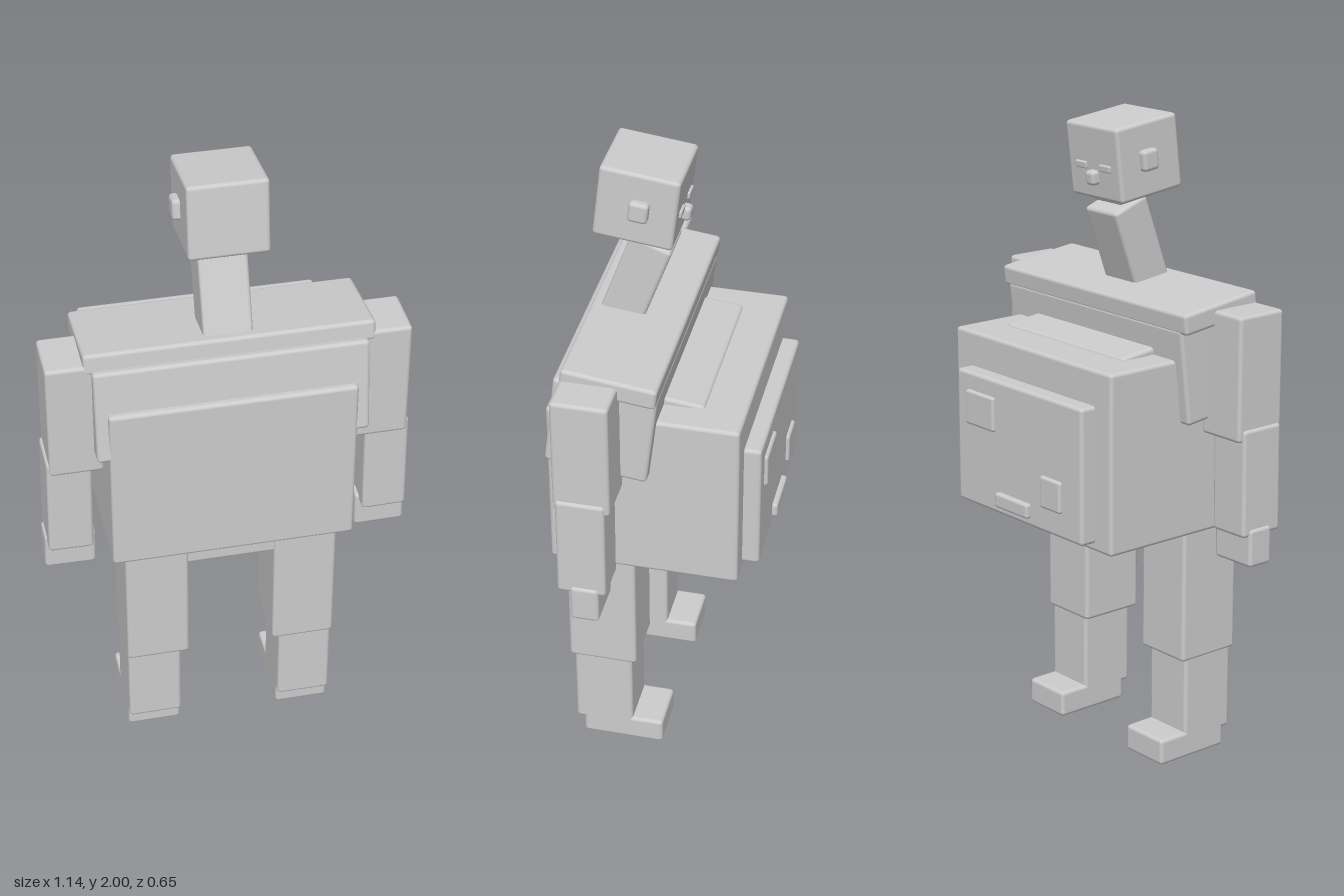
import * as THREE from 'three';
import { RoundedBoxGeometry } from 'three/addons/geometries/RoundedBoxGeometry.js';

export function createModel() {
  const model = new THREE.Group();
  const grey = new THREE.MeshStandardMaterial({ color: 0xcccccc });
  grey.name = 'light grey';

  // Soft-edged block: size, centre, and tilt about x and z
  function block(name, size, pos, tiltX = 0, tiltZ = 0, parent = model) {
    const r = Math.min(0.012, Math.min(...size) * 0.3);
    const mesh = new THREE.Mesh(new RoundedBoxGeometry(...size, 2, r), grey);
    mesh.name = name;
    mesh.position.set(...pos);
    mesh.rotation.set(tiltX, 0, tiltZ);
    parent.add(mesh);
    return mesh;
  }

  // Head with ears and a face on the -z side
  const head = new THREE.Group();
  head.name = 'head';
  head.position.set(0, 1.873, 0.105);
  head.rotation.x = -0.12;
  model.add(head);
  block('skull', [0.24, 0.23, 0.24], [0, 0, 0], 0, 0, head);
  block('nose', [0.04, 0.045, 0.04], [0, -0.045, -0.125], 0, 0, head);
  for (const s of [-1, 1]) {
    block(s > 0 ? 'leftEar' : 'rightEar', [0.04, 0.065, 0.06], [s * 0.123, 0, -0.01], 0, 0, head);
    block(s > 0 ? 'leftEye' : 'rightEye', [0.05, 0.022, 0.016], [s * 0.055, -0.012, -0.12], 0, 0, head);
  }

  // Leaning neck
  block('neck', [0.149, 0.30, 0.132], [0, 1.59, 0.123], -0.35);
  block('neckJoint', [0.13, 0.03, 0.13], [0, 1.752, 0.1], -0.12);

  // Shoulders and chest lean with the head
  block('shoulderPlate', [0.87, 0.066, 0.288], [0, 1.455, 0.117], -0.12);
  block('chest', [0.824, 0.30, 0.312], [0, 1.288, 0.148], -0.12);

  // Large box body with a control panel on the -z side
  block('body', [0.75, 0.56, 0.582], [0, 1.04, 0.031]);
  block('bodyLid', [0.56, 0.05, 0.26], [0, 1.318, -0.005], -0.12);
  block('panel', [0.606, 0.425, 0.08], [0, 0.998, -0.272]);
  block('largeButton', [0.14, 0.11, 0.03], [0.18, 1.1, -0.308]);
  block('smallButton', [0.097, 0.1, 0.03], [-0.163, 0.915, -0.308]);
  block('slot', [0.16, 0.047, 0.03], [0.02, 0.835, -0.314]);

  // Hips between the legs
  block('hips', [0.6, 0.12, 0.2], [0, 0.745, 0.177]);

  // Arms and legs, mirrored
  for (const s of [-1, 1]) {
    const limbs = new THREE.Group();
    limbs.name = s > 0 ? 'leftLimbs' : 'rightLimbs';
    model.add(limbs);
    const limb = (name, size, [x, y, z], lean = 0) =>
      block(name, size, [s * x, y, z], 0, s * lean, limbs);
    limb('upperArm', [0.165, 0.385, 0.173], [0.465, 1.275, 0.174]);
    limb('forearm', [0.138, 0.335, 0.15], [0.489, 0.953, 0.177], 0.012);
    limb('hand', [0.158, 0.12, 0.088], [0.489, 0.75, 0.167], 0.012);
    limb('thigh', [0.198, 0.47, 0.217], [0.234, 0.56, 0.178]);
    limb('shin', [0.17, 0.29, 0.187], [0.245, 0.205, 0.178]);
    limb('foot', [0.17, 0.085, 0.26], [0.245, 0.0425, 0.116]);
  }
  return model;
}
